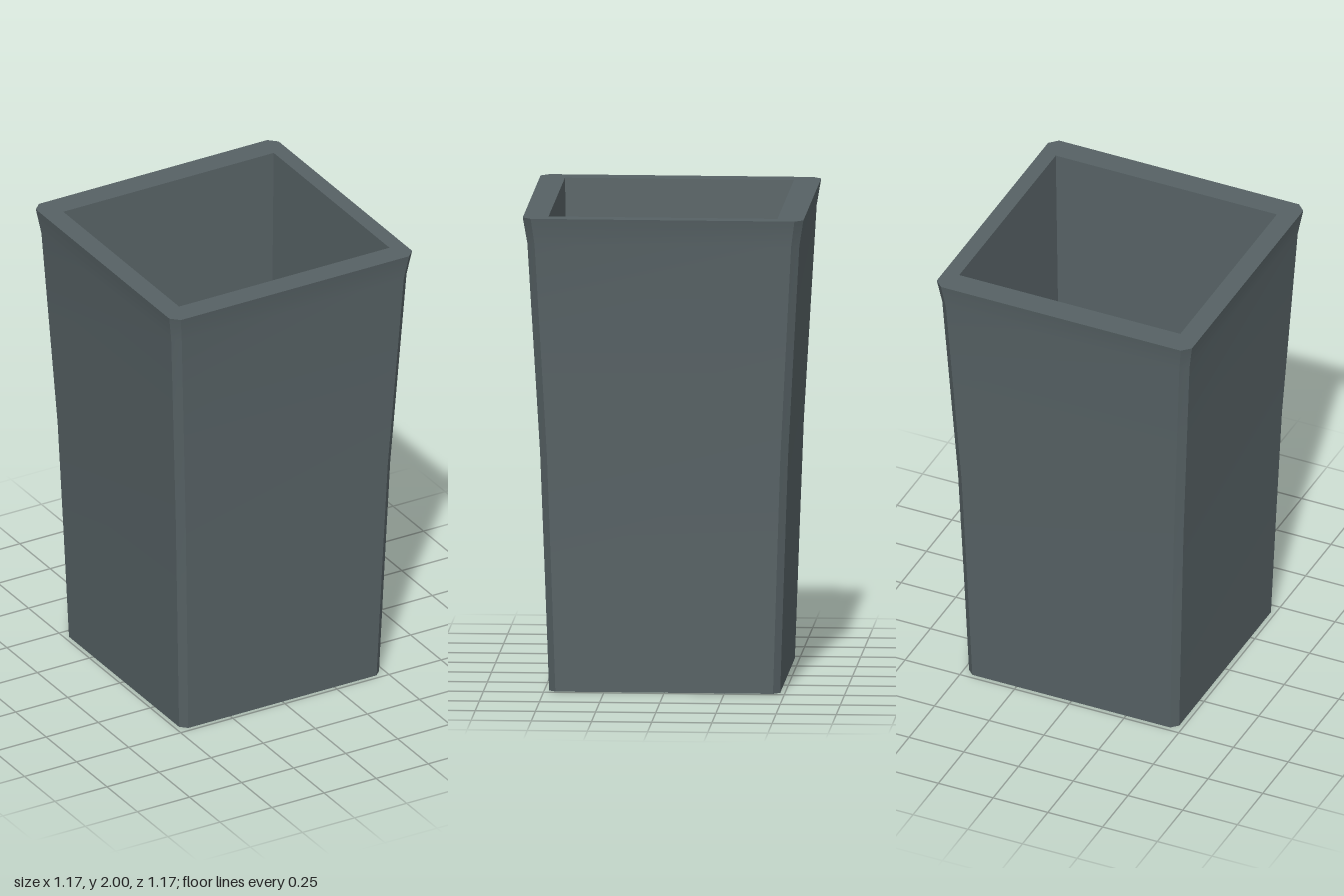
import * as THREE from 'three';

// Chamfered square outline as [x, z], starting on the front side
function chamferedSquare(h, c) {
  const k = h - c;
  return [[-k, h], [k, h], [h, k], [h, -k], [k, -h], [-k, -h], [-h, -k], [-h, k]];
}

// Rectangle outline as [x, z] in the same order
function rectangle(x0, x1, z0, z1) {
  return [[x0, z1], [x1, z1], [x1, z0], [x0, z0]];
}

// Walls through stacked rings: smooth up each side, sharp between sides.
// Rising rings face outwards, descending rings face inwards.
function walls(rings) {
  const positions = [], index = [];
  const sides = rings[0].outline.length;
  for (let s = 0; s < sides; s++) {
    const base = positions.length / 3;
    rings.forEach(({ y, outline }, r) => {
      const a = outline[s], b = outline[(s + 1) % sides];
      positions.push(a[0], y, a[1], b[0], y, b[1]);
      if (r === 0) return;
      const p = base + (r - 1) * 2;
      index.push(p, p + 1, p + 3, p, p + 3, p + 2);
    });
  }
  const geometry = new THREE.BufferGeometry();
  geometry.setAttribute('position', new THREE.Float32BufferAttribute(positions, 3));
  geometry.setIndex(index);
  geometry.computeVertexNormals();
  return geometry;
}

// Flat horizontal face, optionally with a hole
function plate(outline, y, up, hole) {
  const sign = up ? -1 : 1;
  const points = (list) => list.map(([x, z]) => new THREE.Vector2(x, sign * z));
  const shape = new THREE.Shape(points(outline));
  if (hole) shape.holes.push(new THREE.Path(points(hole)));
  return new THREE.ShapeGeometry(shape).rotateX(sign * Math.PI / 2).translate(0, y, 0);
}

export function createModel() {
  const group = new THREE.Group();
  group.name = 'squarePlanter';
  const slate = new THREE.MeshStandardMaterial({ color: 0x566164 });
  slate.name = 'slateGrey';

  const add = (name, geometry) => {
    const mesh = new THREE.Mesh(geometry, slate);
    mesh.name = name;
    group.add(mesh);
  };

  // Height, half width and chamfer of the flaring body
  const profile = [
    [0, 0.48, 0.028], [0.5, 0.497, 0.029], [1, 0.515, 0.03],
    [1.5, 0.543, 0.031], [1.89, 0.565, 0.032], [2, 0.583, 0.035],
  ];
  const outer = profile.map(([y, h, c]) => ({ y, outline: chamferedSquare(h, c) }));
  const opening = rectangle(-0.495, 0.515, -0.473, 0.478);
  const floor = rectangle(-0.456, 0.472, -0.434, 0.441);
  const floorY = 0.1;

  add('outerWalls', walls(outer));
  add('base', plate(outer[0].outline, 0, false));
  add('rim', plate(outer[outer.length - 1].outline, 2, true, opening));
  add('innerWalls', walls([{ y: 2, outline: opening }, { y: floorY, outline: floor }]));
  add('innerFloor', plate(floor, floorY, true));

  return group;
}
